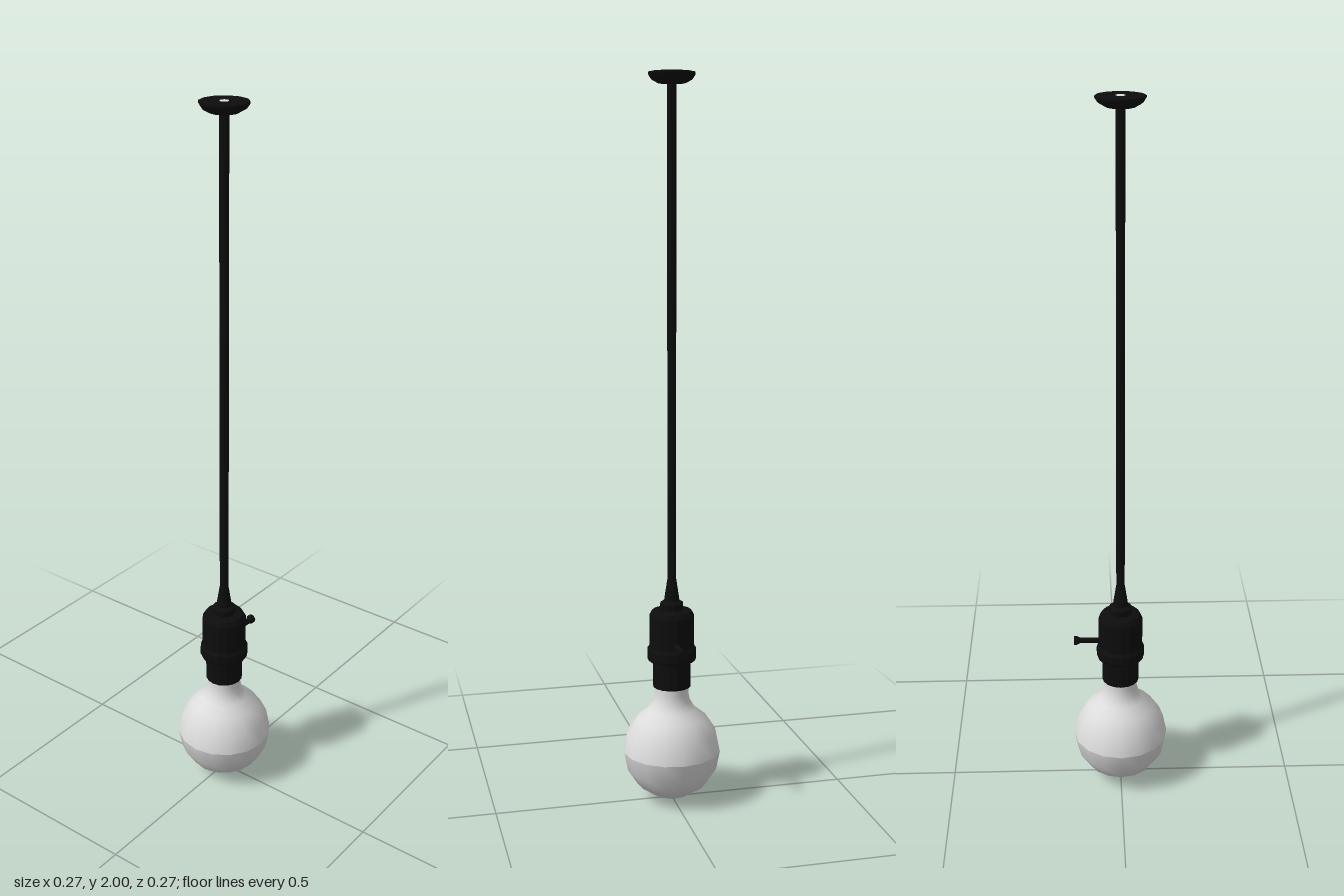
import * as THREE from 'three';

export function createModel() {
  const group = new THREE.Group();
  const black = new THREE.MeshStandardMaterial({ color: 0x0d0d0d });
  black.name = 'black fitting';
  const white = new THREE.MeshStandardMaterial({ color: 0xdcdcdc });
  white.name = 'frosted white';

  const add = (name, geometry, material) => {
    const mesh = new THREE.Mesh(geometry, material);
    mesh.name = name;
    group.add(mesh);
    return mesh;
  };
  // Turned part from [radius, height] pairs, listed bottom to top
  const turned = (points, sides) =>
    new THREE.LatheGeometry(points.map(([r, y]) => new THREE.Vector2(r, y)), sides);
  // Faceted turned part: every ring keeps a sharp edge
  const faceted = (points, sides) => {
    const g = turned(points, sides).toNonIndexed();
    g.computeVertexNormals();
    return g;
  };

  // Globe bulb: two smooth shells meeting in a crisp seam at the equator
  const R = 0.137, cy = 0.141;
  const arc = (from, to, steps) => Array.from({ length: steps + 1 }, (_, i) => {
    const a = from + (to - from) * i / steps;
    return [Math.max(0, R * Math.cos(a)), cy + R * Math.sin(a)];
  });
  const lower = arc(-Math.PI / 2, 0, 4);
  lower[0][1] = 0;
  add('bulbLower', turned(lower, 16), white);
  add('bulbUpper', turned([
    ...arc(0, Math.PI / 4, 2), [0.066, 0.262], [0.052, 0.285], [0.047, 0.31], [0.047, 0.34],
  ], 16), white);

  // Socket: lower sleeve, raised collar, main shell and stepped cap
  add('socketSleeve', faceted([[0, 0.328], [0.053, 0.328], [0.053, 0.41]], 16), black);
  add('socketCollar', faceted([
    [0.05, 0.405], [0.066, 0.405], [0.069, 0.412], [0.069, 0.436], [0.063, 0.445],
  ], 16), black);
  add('socketShell', faceted([
    [0.063, 0.435], [0.063, 0.532], [0.055, 0.546], [0.032, 0.55],
  ], 16), black);
  add('socketCap', faceted([
    [0.033, 0.545], [0.033, 0.568], [0.022, 0.575], [0.019, 0.595], [0.012, 0.64],
  ], 12), black);

  // Turn key on the model's left, flaring at its tip
  const key = add('switchKey', faceted([
    [0.008, 0], [0.008, 0.062], [0.013, 0.071], [0.013, 0.08], [0, 0.08],
  ], 10), black);
  key.rotation.z = -Math.PI / 2;
  key.position.set(0.055, 0.458, 0);

  // Cord with its pale core showing at the top end
  add('cord', new THREE.CylinderGeometry(0.0125, 0.0125, 1.39, 10, 1, true), black)
    .position.y = 1.304;
  const core = add('cordCore', new THREE.CircleGeometry(0.012, 10), white);
  core.rotation.x = -Math.PI / 2;
  core.position.y = 2;

  // Ceiling canopy
  add('canopy', faceted([
    [0.0125, 1.969], [0.038, 1.972], [0.056, 1.982], [0.064, 1.994], [0.064, 1.999], [0.012, 1.999],
  ], 12), black);

  return group;
}
